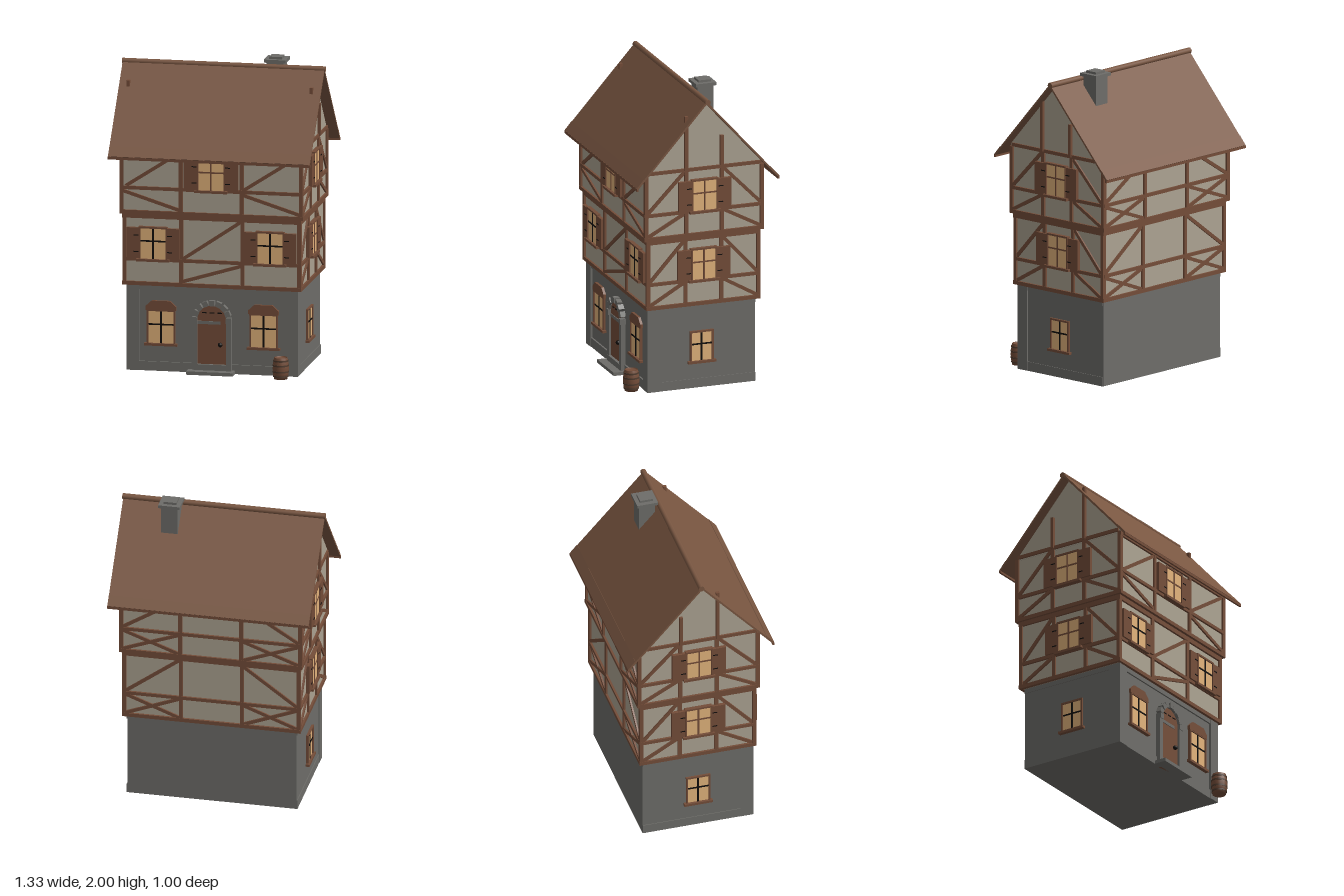
import * as THREE from 'three';

const paint = (name, color) => {
  const m = new THREE.MeshStandardMaterial({ color });
  m.name = name;
  return m;
};

export function createModel() {
  const timber = paint('timber brown', 0x744d39);
  const tile = paint('roof brown', 0x795641);
  const plaster = paint('plaster', 0xaca392);
  const stone = paint('stone grey', 0x6e6d69);
  const glass = paint('lit glass', 0xe2b37b);
  const iron = paint('dark iron', 0x100d0b);
  const hoopMat = paint('hoop brown', 0x503c2f);

  const house = new THREE.Group();
  house.name = 'timberHouse';

  const add = (parent, name, geo, mat, x = 0, y = 0, z = 0) => {
    const m = new THREE.Mesh(geo, mat);
    m.name = name;
    m.position.set(x, y, z);
    parent.add(m);
    return m;
  };
  // Box given by its limits on each axis
  const box = (parent, name, mat, x0, x1, y0, y1, z0, z1) =>
    add(parent, name, new THREE.BoxGeometry(x1 - x0, y1 - y0, z1 - z0), mat,
      (x0 + x1) / 2, (y0 + y1) / 2, (z0 + z1) / 2);
  const poly = (pts) => new THREE.Shape(pts.map(([x, y]) => new THREE.Vector2(x, y)));
  const extrude = (shape, depth) =>
    new THREE.ExtrudeGeometry(shape, { depth, bevelEnabled: false, curveSegments: 10 });
  // Extrusion of a (z, y) outline along x, centred
  const alongX = (pts, length) => {
    const g = extrude(poly(pts), length);
    g.translate(0, 0, -length / 2);
    return g.rotateY(-Math.PI / 2);
  };
  // A group whose local +z points out of one wall
  const face = (parent, name, angle, dist) => {
    const g = new THREE.Group();
    g.name = name;
    g.rotation.y = angle;
    g.position.set(Math.sin(angle) * dist, 0, Math.cos(angle) * dist);
    parent.add(g);
    return g;
  };
  const brace = (f, x0, y0, x1, y1) => {
    const m = add(f, 'brace', new THREE.BoxGeometry(Math.hypot(x1 - x0, y1 - y0), 0.022, 0.018),
      timber, (x0 + x1) / 2, (y0 + y1) / 2, -0.011);
    m.rotation.z = Math.atan2(y1 - y0, x1 - x0);
  };
  const post = (f, x, y0, y1) => box(f, 'post', timber, x - 0.0125, x + 0.0125, y0, y1, -0.02, 0);
  const rail = (f, w, y0, y1) => box(f, 'rail', timber, -w, w, y0, y1, -0.021, 0.001);

  // Casement window with bars, frame, sill and optional shutters
  const windowAt = (f, x, y, w, h, bars, shutterWidth) => {
    const g = new THREE.Group();
    g.name = 'window';
    g.position.set(x, y, 0);
    f.add(g);
    const a = w / 2;
    const b = bars === iron ? 0.006 : 0.005;
    box(g, 'glass', glass, -a, a, 0, h, -0.02, 0.006);
    box(g, 'verticalBar', bars, -b, b, 0, h, 0.004, 0.01);
    box(g, 'crossBar', bars, -a, a, h * 0.58 - 0.005, h * 0.58 + 0.005, 0.004, 0.0095);
    for (const s of [-1, 1]) {
      box(g, 'frameSide', timber, s * a - 0.005, s * a + 0.006, 0, h, -0.02, 0.014);
      if (!shutterWidth) continue;
      const c = s * (a + 0.006 + shutterWidth / 2);
      box(g, 'shutter', timber, c - shutterWidth / 2, c + shutterWidth / 2, 0.005, h, -0.01, 0.013);
      for (const k of [0.24, 0.76]) {
        const hx = s * (a + 0.022);
        box(g, 'hinge', iron, hx - 0.016, hx + 0.016, h * k - 0.003, h * k + 0.003, 0.011, 0.016);
      }
    }
    box(g, 'frameTop', timber, -a - 0.006, a + 0.006, h - 0.004, h + 0.008, -0.02, 0.014);
    box(g, 'sill', timber, -a - 0.02, a + 0.02, -0.014, 0.002, -0.02, 0.024);
  };

  // Stone ground floor
  box(house, 'groundFloor', stone, -0.555, 0.555, 0, 0.56, -0.37, 0.355);
  box(house, 'plinth', stone, -0.56, 0.56, 0, 0.06, -0.369, 0.366);
  box(house, 'stoneCornice', stone, -0.56, 0.56, 0.53, 0.56, -0.369, 0.366);
  for (const s of [-1, 1]) {
    const c = s * 0.521;
    box(house, 'cornerPier', stone, c - 0.041, c + 0.041, 0, 0.558, 0.285, 0.37);
  }
  const ground = face(house, 'groundFront', 0, 0.357);
  for (const s of [-1, 1]) {
    windowAt(ground, s * 0.336, 0.18, 0.175, 0.215, iron, 0);
    add(ground, 'windowArch', extrude(poly([[-0.1, 0], [0.1, 0], [0.1, 0.025], [0.06, 0.062],
      [-0.06, 0.062], [-0.1, 0.025]]), 0.03), timber, s * 0.336, 0.398, -0.015);
    const side = face(house, 'groundSide', s * Math.PI / 2, 0.556);
    windowAt(side, 0, 0.18, 0.15, 0.195, iron, 0);
  }

  // Arched door, stone surround and steps
  const door = new THREE.Shape();
  door.moveTo(-0.095, 0).lineTo(0.095, 0).lineTo(0.095, 0.355);
  door.absarc(0, 0.355, 0.095, 0, Math.PI, false);
  add(ground, 'door', extrude(door, 0.016), timber);
  for (const s of [-1, 1])
    box(ground, 'doorPillar', stone, s * 0.112 - 0.017, s * 0.112 + 0.017, 0, 0.36, 0, 0.032);
  for (let i = 0; i <= 8; i++) {
    const a = (Math.PI * i) / 8;
    const v = add(ground, 'archStone', new THREE.BoxGeometry(0.034, 0.036, i % 2 ? 0.036 : 0.044),
      stone, Math.cos(a) * 0.111, 0.35 + Math.sin(a) * 0.111, 0.015);
    v.rotation.z = a;
  }
  box(ground, 'doorStrap', stone, -0.094, 0.055, 0.322, 0.342, 0.014, 0.021);
  for (const x of [-0.05, 0, 0.05]) box(ground, 'doorVent', iron, x - 0.015, x + 0.015, 0.393, 0.4, 0.014, 0.019);
  add(ground, 'doorKnob', new THREE.SphereGeometry(0.015, 10, 8), iron, 0.055, 0.19, 0.025);
  box(ground, 'lowerStep', stone, -0.155, 0.15, 0, 0.022, 0, 0.09);
  box(ground, 'upperStep', stone, -0.115, 0.115, 0, 0.06, 0, 0.035);

  // Two jettied timber storeys
  const storeys = [
    { name: 'middle', y0: 0.56, y1: 1.03, hw: 0.585, hd: 0.39, mid: 0.72, win: 0.735 },
    { name: 'upper', y0: 1.03, y1: 1.47, hw: 0.6, hd: 0.408, mid: 1.19, win: 1.203 },
  ];
  for (const { name, y0, y1, hw, hd, mid, win } of storeys) {
    const storey = new THREE.Group();
    storey.name = name + 'Storey';
    storey.position.z = -0.006;
    house.add(storey);
    box(storey, 'plasterWall', plaster, -hw + 0.013, hw - 0.013, y0 + 0.004, y1, -hd + 0.013, hd - 0.013);
    const low = y0 + 0.025, top = y1 - 0.03, over = mid + 0.022;
    const isUpper = name === 'upper';

    for (const [end, angle] of [['front', 0], ['back', Math.PI]]) {
      const f = face(storey, end + 'Framing', angle, hd);
      rail(f, hw, y0, low);
      rail(f, hw, top, y1);
      rail(f, hw - 0.01, mid, over);
      for (const s of [-1, 1]) {
        post(f, s * (hw - 0.0125), y0, y1);
        post(f, s * 0.2, y0, y1);
      }
      if (end === 'back') {
        // Outer bays are braced, the middle bay is plain
        for (const s of [-1, 1]) {
          brace(f, s * (hw - 0.02), over, s * 0.21, top);
          brace(f, s * (hw - 0.02), mid, s * 0.21, low);
          brace(f, s * (hw - 0.02), low, s * 0.21, mid);
        }
      } else if (isUpper) {
        brace(f, -0.56, over, -0.21, top);
        brace(f, 0.21, over, 0.56, top);
        brace(f, -0.58, mid - 0.01, -0.21, low + 0.01);
        brace(f, 0.21, mid - 0.01, 0.58, low + 0.01);
        windowAt(f, 0, win, 0.175, 0.205, timber, 0.085);
      } else {
        brace(f, -0.19, over, 0.19, top);
        brace(f, -0.19, low + 0.01, 0.19, mid - 0.01);
        for (const s of [-1, 1]) windowAt(f, s * 0.383, win, 0.175, 0.205, iron, 0.078);
      }
    }
    for (const s of [-1, 1]) {
      const f = face(storey, s > 0 ? 'leftFraming' : 'rightFraming', s * Math.PI / 2, hw);
      rail(f, hd, y0, low);
      if (isUpper) rail(f, 0.39, 1.472, 1.495);
      else rail(f, hd, top, y1);
      rail(f, hd - 0.01, mid, over);
      for (const k of [-1, 1]) {
        post(f, k * (hd - 0.0125), y0, y1);
        post(f, k * 0.122, y0, y1 + (isUpper ? 0.004 : 0));
        brace(f, k * (hd - 0.02), over, k * 0.135, isUpper ? 1.47 : top);
        brace(f, k * (hd - 0.02), low, k * 0.135, mid);
      }
      windowAt(f, 0, win, 0.17, 0.205, timber, 0.088);
    }
  }

  // Gables reaching up to the roof, with their posts
  add(house, 'gable', alongX([[-0.4, 1.465], [0.4, 1.465], [0.4, 1.49], [0, 1.935], [-0.4, 1.49]], 1.18), plaster);
  for (const s of [-1, 1]) {
    const x = s * 0.599;
    box(house, 'gablePost', timber, x - 0.01, x + 0.01, 1.48, 1.845, 0.108, 0.13);
    box(house, 'gablePost', timber, x - 0.01, x + 0.01, 1.48, 1.695, -0.136, -0.114);
  }

  // Roof slopes, each with a doubled lowest course
  const roofY = (z) => 1.95 - z * 1.115;
  for (const s of [-1, 1]) {
    const eave = s > 0 ? 0.48 : 0.497;
    const outline = [[0, 1.932], [0, 1.95], [eave - 0.05, roofY(eave - 0.05)],
      [eave - 0.048, roofY(eave - 0.05) + 0.002], [eave, roofY(eave) + 0.002],
      [eave - 0.008, roofY(eave) - 0.009]].map(([z, y]) => [s * z, y]);
    add(house, s > 0 ? 'frontRoof' : 'backRoof', alongX(outline, 1.32), tile);
    const e = s * (eave - 0.006);
    box(house, 'eaveBoard', timber, -0.663, 0.663, roofY(eave) - 0.018, roofY(eave), e - 0.006, e + 0.006);
  }
  const ridge = add(house, 'ridge', new THREE.CylinderGeometry(0.019, 0.019, 1.33, 10), tile, 0, 1.943, -0.006);
  ridge.rotation.z = Math.PI / 2;

  // Chimney
  box(house, 'chimneyShaft', stone, 0.273, 0.383, 1.7, 1.968, -0.15, -0.04);
  box(house, 'chimneyCap', stone, 0.257, 0.399, 1.965, 1.985, -0.165, -0.025);
  box(house, 'chimneyTop', stone, 0.285, 0.37, 1.984, 2, -0.138, -0.053);

  // Barrel by the door
  const barrel = new THREE.Group();
  barrel.name = 'barrel';
  barrel.position.set(0.465, 0, 0.445);
  house.add(barrel);
  const profile = [[0, 0], [0.043, 0], [0.05, 0.035], [0.053, 0.07], [0.05, 0.105], [0.043, 0.14],
    [0.039, 0.14], [0.039, 0.13], [0, 0.13]].map(([r, y]) => new THREE.Vector2(r, y));
  add(barrel, 'barrelBody', new THREE.LatheGeometry(profile, 16), timber);
  for (const [y, r] of [[0.02, 0.05], [0.05, 0.054], [0.09, 0.054], [0.12, 0.05]])
    add(barrel, 'barrelHoop', new THREE.CylinderGeometry(r, r, 0.01, 16), hoopMat, 0, y, 0);

  return house;
}
